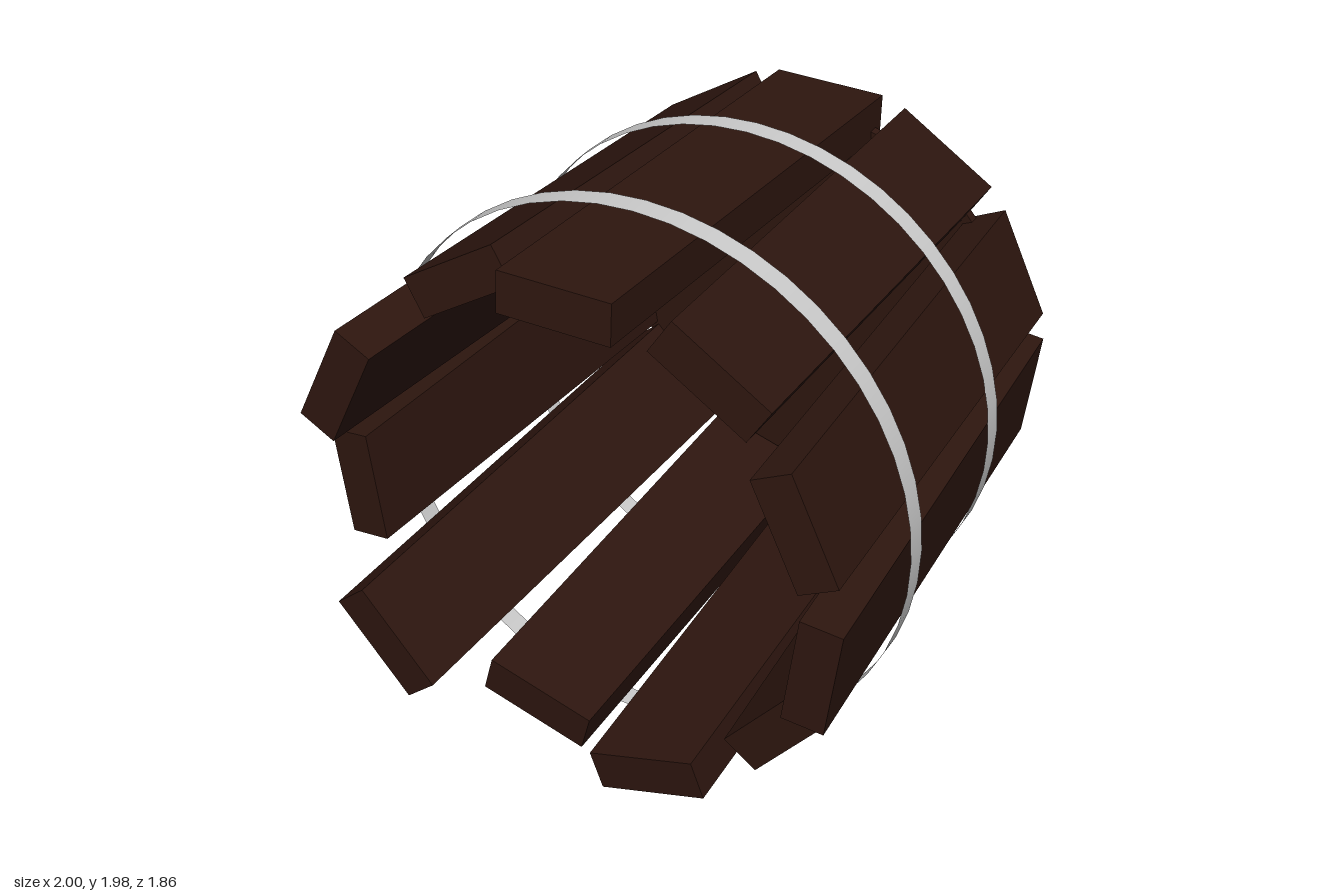
import * as THREE from 'three';

const wood = new THREE.MeshStandardMaterial({ color: 0x2e160f });
const metal = new THREE.MeshStandardMaterial({ color: 0xcccccc, side: THREE.DoubleSide });

const AXIS_Y = 0.995;      // height of the bucket's axis
const TAPER = 0.0746;      // radius gained per unit of z
const THICK = 0.145;
const BACK_TILT = 0.026;   // the back end leans slightly
const outerRadius = (z) => 0.912 + TAPER * z;

// One tapered stave at twelve o'clock, running from zBack to zFront
function staveGeometry(zBack, zFront) {
  const g = new THREE.BoxGeometry(0.4, THICK, 1);
  const p = g.attributes.position;
  for (let i = 0; i < p.count; i++) {
    const z = p.getZ(i) > 0 ? zFront : zBack;
    const inner = p.getY(i) < 0;
    p.setY(i, outerRadius(z) - (inner ? THICK : 0));
    p.setZ(i, z + (inner ? 0.011 : 0));
  }
  g.computeVertexNormals();
  return g;
}

// Thin open hoop
function hoop(name, radius, z, width) {
  const g = new THREE.CylinderGeometry(radius, radius, width, 48, 1, true);
  g.rotateX(Math.PI / 2);
  const m = new THREE.Mesh(g, metal);
  m.name = name;
  m.position.set(-0.01, AXIS_Y, z);
  return m;
}

export function createModel() {
  const model = new THREE.Group();
  model.name = 'bucket';

  // Staves with uneven front ends, clockwise from the top
  const fronts = [0.885, 0.81, 0.9, 0.91, 0.7, 0.81, 0.68, 0.92, 0.73, 0.9, 0.68];
  const staves = new THREE.Group();
  staves.name = 'staves';
  staves.position.y = AXIS_Y;
  fronts.forEach((zFront, i) => {
    const angle = (i / fronts.length) * Math.PI * 2;
    const zBack = -0.907 - BACK_TILT * Math.cos(angle);
    const stave = new THREE.Mesh(staveGeometry(zBack, zFront), wood);
    stave.name = 'stave';
    stave.rotation.z = -angle;
    staves.add(stave);
  });
  model.add(staves);

  // Round bottom board closing the back end
  const disc = new THREE.CylinderGeometry(0.77, 0.77, 0.035, 32);
  disc.rotateX(Math.PI / 2);
  const bottom = new THREE.Mesh(disc, wood);
  bottom.name = 'bottomBoard';
  bottom.position.set(0, AXIS_Y, -0.887);
  bottom.rotation.x = BACK_TILT;
  model.add(bottom);

  // Metal hoops
  model.add(hoop('frontHoop', 0.99, 0.36, 0.08));
  model.add(hoop('backHoop', 0.922, -0.375, 0.075));
  return model;
}
